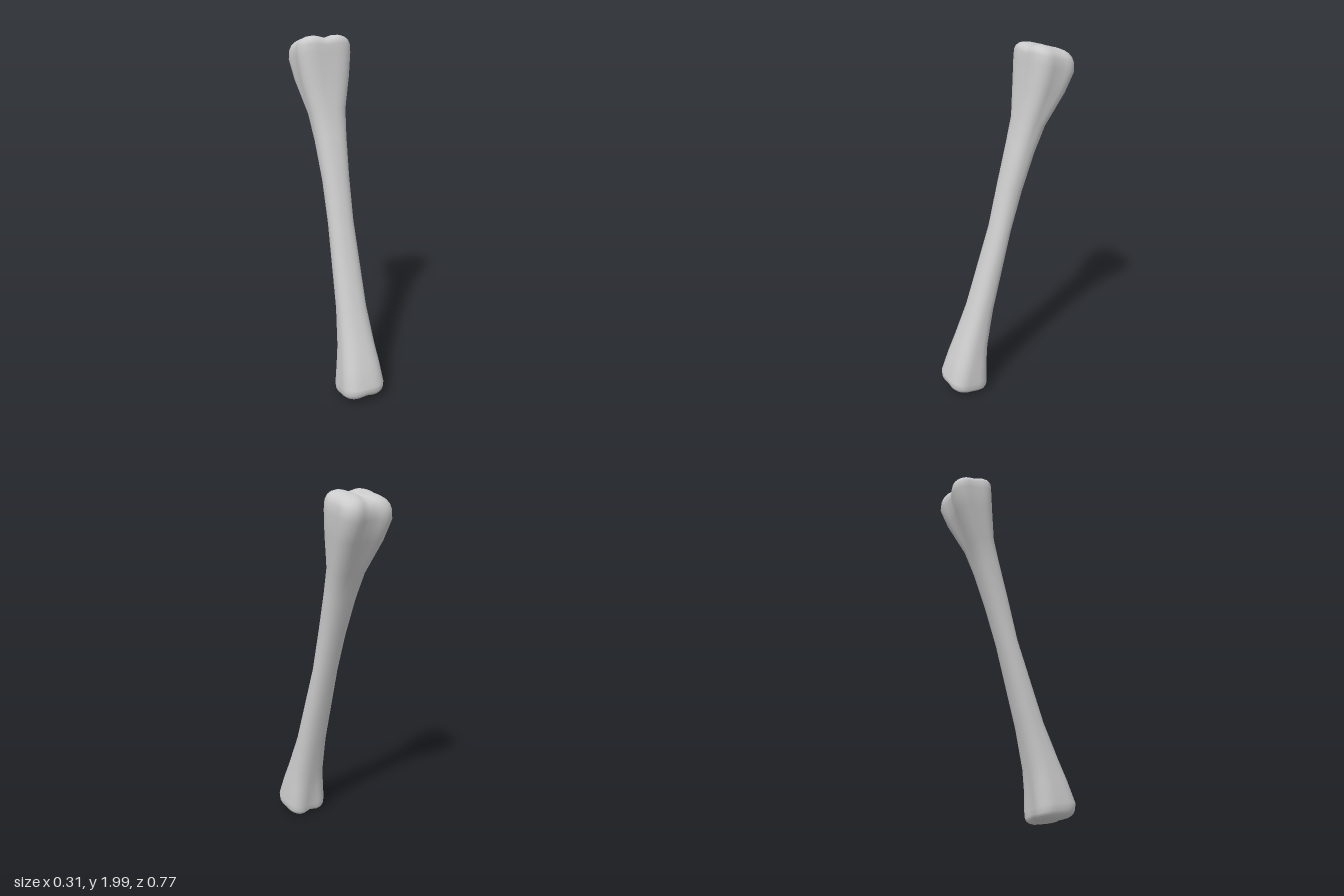
import * as THREE from 'three';

const SIDES = 40;
const CAP_STEPS = 6;

// Tilted cross-sections along the shaft: front z, front y, back z, back y, half width
const SECTIONS = [
  [0.388, 0.11, 0.147, 0.07, 0.130],
  [0.345, 0.23, 0.143, 0.18, 0.117],
  [0.305, 0.33, 0.130, 0.29, 0.103],
  [0.225, 0.53, 0.083, 0.51, 0.086],
  [0.072, 1.00, -0.040, 0.98, 0.074],
  [0.010, 1.26, -0.110, 1.20, 0.077],
  [-0.050, 1.47, -0.180, 1.41, 0.090],
  [-0.090, 1.61, -0.240, 1.56, 0.105],
  [-0.115, 1.78, -0.345, 1.74, 0.146],
  [-0.128, 1.91, -0.391, 1.845, 0.163],
];

const power = (v, e) => Math.sign(v) * Math.abs(v) ** e;
const bump = (v, width) => Math.exp(-((v / width) ** 2));

// One ring of points; scale, lift and dip round it off into an end cap
function sectionRing([zF, yF, zB, yB, w], scale = 1, lift = 0, dip = 0) {
  // wide sections are squarer and more deeply grooved
  const squareness = 2.2 + 12 * Math.max(0, w - 0.074);
  const groove = 4 * Math.max(0, w - 0.1);
  const ring = [];
  for (let j = 0; j < SIDES; j++) {
    const a = (j / SIDES) * Math.PI * 2;
    const u = power(Math.cos(a), 2 / squareness);
    const v = power(Math.sin(a), 2 / squareness);
    const x = u * w * scale * (1 - groove * 0.33 * bump(v, 0.35));
    const depth = v * scale * (1 - groove * (v < 0 ? 1 : 0.15) * bump(u, 0.38)) / 2;
    ring.push(
      x,
      (yF + yB) / 2 + depth * (yF - yB) + lift - dip * bump(x, 0.04),
      (zF + zB) / 2 + depth * (zF - zB),
    );
  }
  return ring;
}

// Rounded end with a hollow between the knuckles, from the rim to the middle
function capRings(section, height, dip) {
  return Array.from({ length: CAP_STEPS }, (_, i) => {
    const a = ((i + 1) / CAP_STEPS) * Math.PI / 2;
    const rise = Math.sin(a) ** 0.6;
    return sectionRing(section, Math.cos(a) ** 0.6, height * rise, dip * rise);
  });
}

function boneGeometry() {
  const rings = [
    ...capRings(SECTIONS[0], -0.08, -0.012).reverse(),
    ...SECTIONS.map((section) => sectionRing(section)),
    ...capRings(SECTIONS[SECTIONS.length - 1], 0.107, 0.017),
  ];
  const index = [];
  for (let i = 0; i < rings.length - 1; i++) {
    for (let j = 0; j < SIDES; j++) {
      const a = i * SIDES + j;
      const b = i * SIDES + (j + 1) % SIDES;
      index.push(a, a + SIDES, b, b, a + SIDES, b + SIDES);
    }
  }
  const geometry = new THREE.BufferGeometry();
  geometry.setAttribute('position', new THREE.Float32BufferAttribute(rings.flat(), 3));
  geometry.setIndex(index);
  geometry.computeVertexNormals();
  return geometry;
}

export function createModel() {
  const group = new THREE.Group();
  group.name = 'bone';
  const bone = new THREE.Mesh(
    boneGeometry(),
    new THREE.MeshStandardMaterial({ color: 0xcccccc }),
  );
  bone.name = 'shaftWithKnuckles';
  group.add(bone);
  return group;
}
